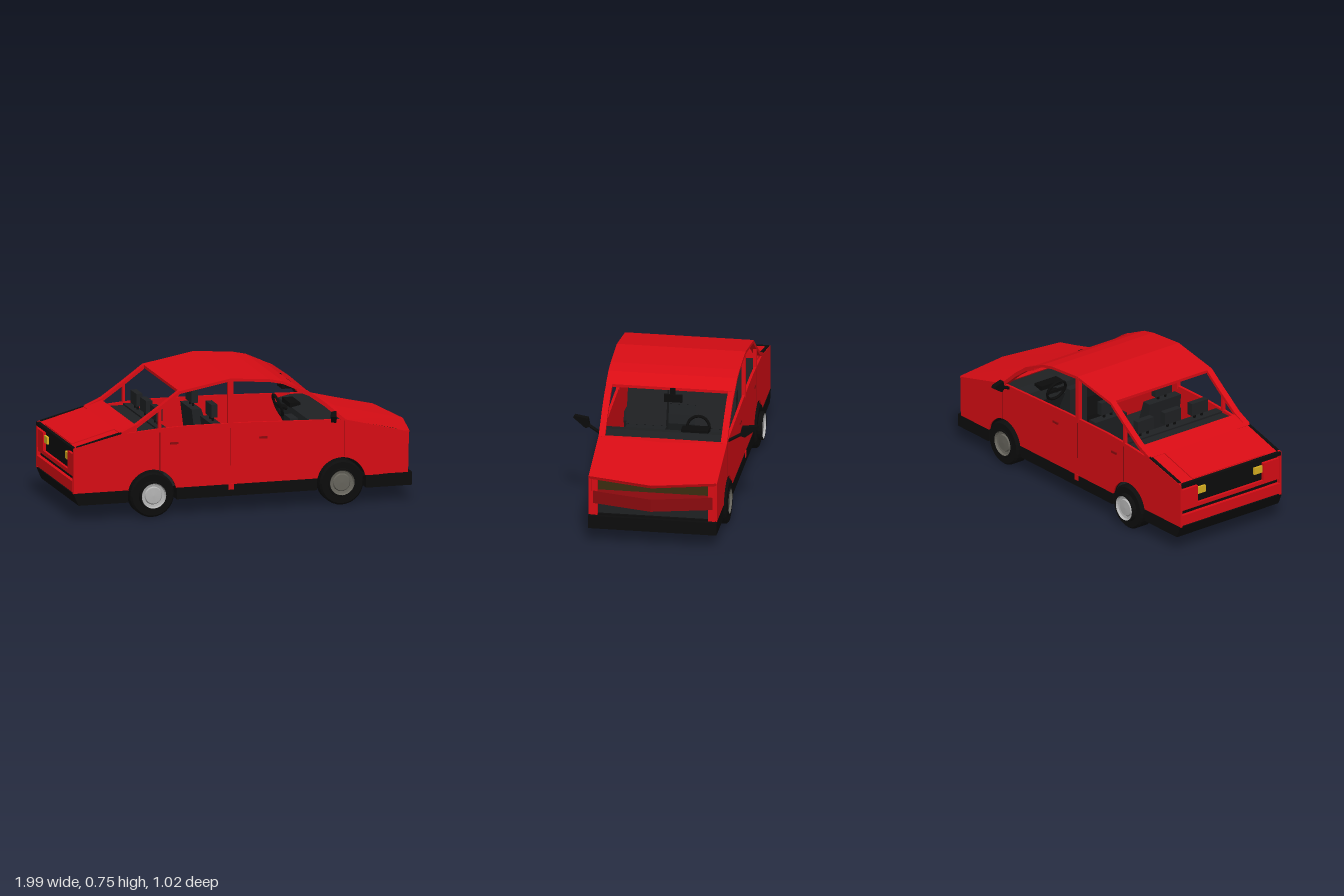
import * as THREE from 'three';

const mat = (color) => new THREE.MeshStandardMaterial({ color, flatShading: true, side: THREE.DoubleSide });
const red = mat(0xd80c14), darkRed = mat(0x8a0a0e), black = mat(0x0c0c0c), grey = mat(0x1f2123);
const rim = mat(0xb4b4b4), frontRim = mat(0x66645c), olive = mat(0x3a2c10), amber = mat(0xd8b020);

const REAR_X = -0.545, FRONT_X = 0.535, AXLE_Y = 0.125, ARCH = 0.14;

export function createModel() {
  const car = new THREE.Group();
  car.name = 'car';

  const add = (name, geometry, material, x = 0, y = 0, z = 0) => {
    const m = new THREE.Mesh(geometry, material);
    m.name = name;
    m.position.set(x, y, z);
    car.add(m);
    return m;
  };
  // box given by its extents
  const box = (name, material, x0, x1, y0, y1, z0, z1) =>
    add(name, new THREE.BoxGeometry(x1 - x0, y1 - y0, z1 - z0), material, (x0 + x1) / 2, (y0 + y1) / 2, (z0 + z1) / 2);
  // side profile extruded across z
  const slab = (name, material, shape, z0, z1) =>
    add(name, new THREE.ExtrudeGeometry(shape, { depth: z1 - z0, bevelEnabled: false, curveSegments: 16 }), material, 0, 0, z0);
  const poly = (pts) => new THREE.Shape(pts.map(([x, y]) => new THREE.Vector2(x, y)));
  // strip of thickness t lying under a line of points
  const band = (name, material, pts, t, z0, z1) =>
    slab(name, material, poly([...pts, ...pts.map(([x, y]) => [x, y - t]).reverse()]), z0, z1);

  // body sides with wheel arches
  const a = Math.asin((0.155 - AXLE_Y) / ARCH);
  const side = new THREE.Shape();
  side.moveTo(-0.995, 0.155);
  for (const cx of [REAR_X, FRONT_X]) {
    side.lineTo(cx - ARCH * Math.cos(a), 0.155);
    side.absarc(cx, AXLE_Y, ARCH, Math.PI - a, a, true);
  }
  [[0.915, 0.155], [0.92, 0.385], [0.55, 0.477], [0, 0.495], [-0.35, 0.498], [-0.5, 0.492], [-0.72, 0.475], [-0.995, 0.41]]
    .forEach(([x, y]) => side.lineTo(x, y));

  for (const s of [-1, 1]) {
    const span = (p, q) => (s > 0 ? [p, q] : [-q, -p]);
    slab('bodySide', red, side, ...span(0.34, 0.355));

    // pillars
    band('rearPillar', red, [[-0.72, 0.485], [-0.63, 0.525], [-0.5, 0.615], [-0.39, 0.695]], 0.022, ...span(0.32, 0.355));
    band('windscreenPillar', red, [[0.28, 0.675], [0.35, 0.645], [0.44, 0.58], [0.56, 0.475]], 0.025, ...span(0.32, 0.355));
    box('middlePillar', red, -0.112, -0.083, 0.48, 0.738, ...span(0.335, 0.357));
    box('rearWindowPost', red, -0.508, -0.493, 0.48, 0.61, ...span(0.335, 0.355));

    // door details
    for (const x of [-0.42, 0.09]) box('doorHandle', darkRed, x - 0.022, x + 0.022, 0.4, 0.412, ...span(0.355, 0.361));
    for (const x of [-0.5, -0.1, 0.55]) box('doorSeam', darkRed, x - 0.002, x + 0.002, x > 0 ? 0.27 : 0.26, 0.47, ...span(0.35, 0.356));
    box('sillBracket', red, -0.11, -0.08, 0.125, 0.16, ...span(0.345, 0.359));
    band('trunkSideTrim', black, [[-0.975, 0.418], [-0.72, 0.484]], 0.01, ...span(0.335, 0.352));

    // wing mirrors
    const stem = new THREE.LineCurve3(new THREE.Vector3(0.5, 0.465, s * 0.35), new THREE.Vector3(0.475, 0.505, s * 0.43));
    add('mirrorStem', new THREE.TubeGeometry(stem, 1, 0.009, 6), black);
    const head = poly([[0.415, 0.495], [0.44, 0.482], [0.512, 0.53], [0.505, 0.542], [0.425, 0.542]]);
    const mirror = add('mirrorHead', new THREE.ExtrudeGeometry(head, { depth: 0.03, bevelEnabled: false }), black);
    // shape x becomes z, swept slightly back toward the tip
    const p = mirror.geometry.attributes.position;
    for (let i = 0; i < p.count; i++) {
      const out = p.getX(i), depth = p.getZ(i);
      p.setXYZ(i, 0.46 + depth - (out - 0.415) * 0.35, p.getY(i), s * out);
    }
    if (s > 0) mirror.geometry.index ? 0 : flip(mirror.geometry);
    mirror.geometry.computeVertexNormals();

    // wheels
    for (const [x, material, out] of [[REAR_X, rim, 0.39], [FRONT_X, frontRim, 0.37]]) {
      const profile = [[0.06, 0.275], [0.115, 0.275], [0.125, 0.285], [0.125, 0.355], [0.115, 0.366], [0.08, 0.366], [0.078, out], [0.07, out]];
      const lathe = (name, pts, m) => {
        const g = new THREE.LatheGeometry(pts.map(([r, h]) => new THREE.Vector2(r, h)), 28);
        g.rotateX(s * Math.PI / 2);
        add(name, g, m, x, AXLE_Y);
      };
      lathe('tyre', profile, black);
      lathe('hubcap', [[0.076, out - 0.004], [0.07, out], [0.064, out - 0.012], [0.05, out - 0.015], [0.045, out - 0.008], [0, out - 0.006]], material);
      lathe('wheelBack', [[0.062, 0.28], [0, 0.28]], black);
    }
  }

  // wheel tunnels across the floor
  for (const x of [REAR_X, FRONT_X]) {
    const liner = new THREE.CylinderGeometry(ARCH, ARCH, 0.69, 20, 1, true, -Math.PI / 2, Math.PI);
    liner.rotateX(-Math.PI / 2);
    add('wheelTunnel', liner, black, x, AXLE_Y);
  }

  // floor pan and bumpers
  slab('rearBumper', black, poly([[-0.995, 0.158], [-0.965, 0.09], [REAR_X - ARCH, 0.09], [REAR_X - ARCH, 0.158]]), -0.357, 0.357);
  box('floorPan', black, REAR_X + ARCH, FRONT_X - ARCH, 0.09, 0.155, -0.357, 0.357);
  box('frontBumper', black, FRONT_X + ARCH, 0.938, 0.085, 0.158, -0.355, 0.355);
  box('noseFloor', black, 0.62, 0.915, 0.15, 0.165, -0.34, 0.34);

  // roof, decks and trunk lid
  band('roof', red, [[-0.39, 0.695], [-0.25, 0.72], [-0.1, 0.747], [0.12, 0.73], [0.2, 0.713], [0.29, 0.672]], 0.016, -0.356, 0.356);
  band('rearDeck', red, [[-0.73, 0.482], [-0.63, 0.515]], 0.03, -0.345, 0.345);
  band('trunkLid', red, [[-0.985, 0.41], [-0.72, 0.482]], 0.012, -0.335, 0.335);
  band('trunkLidPanel', red, [[-0.975, 0.418], [-0.73, 0.485]], 0.008, -0.255, 0.255);

  // hood: cross-sections as [edge x, edge y, centre x, centre y]
  const rows = [[0.55, 0.476, 0.55, 0.478], [0.56, 0.474, 0.6, 0.475], [0.925, 0.388, 0.99, 0.38], [0.918, 0.37, 0.98, 0.36], [0.89, 0.37, 0.89, 0.36]];
  const verts = [], faces = [];
  rows.forEach(([ex, ey, cx, cy], i) => {
    const w = i < 2 ? 0.343 : 0.352;
    verts.push(ex, ey, w, cx, cy, 0, ex, ey, -w);
    if (i) for (const k of [0, 1]) {
      const p = (i - 1) * 3 + k, q = i * 3 + k;
      faces.push(p, q, q + 1, p, q + 1, p + 1);
    }
  });
  const hood = new THREE.BufferGeometry();
  hood.setAttribute('position', new THREE.Float32BufferAttribute(verts, 3));
  hood.setIndex(faces);
  hood.computeVertexNormals();
  add('hood', hood, red);

  // nose: recessed grille, pointed bar, lower intake
  box('grille', olive, 0.885, 0.895, 0.29, 0.372, -0.305, 0.305);
  box('lowerIntake', grey, 0.885, 0.9, 0.155, 0.24, -0.305, 0.305);
  for (const s of [-1, 1]) box('noseFrame', red, 0.885, 0.918, 0.155, 0.372, s * 0.325 - 0.02, s * 0.325 + 0.02);
  const bar = new THREE.ExtrudeGeometry(poly([[0.89, -0.33], [0.92, -0.33], [0.996, 0], [0.92, 0.33], [0.89, 0.33]]), { depth: 0.072, bevelEnabled: false });
  bar.rotateX(-Math.PI / 2);
  add('noseBar', bar, darkRed, 0, 0.228);

  // tail: dark recess, red surrounds and lamps
  box('tailPanel', black, -0.975, -0.965, 0.155, 0.405, -0.34, 0.34);
  box('tailEdge', black, -0.998, -0.965, 0.392, 0.412, -0.35, 0.35);
  box('tailLowerBar', red, -0.996, -0.965, 0.165, 0.225, -0.345, 0.345);
  box('tailMiddleBar', red, -0.99, -0.965, 0.25, 0.272, -0.34, 0.34);
  for (const s of [-1, 1]) {
    box('tailLamp', red, -0.992, -0.965, 0.272, 0.375, s * 0.285 - 0.055, s * 0.285 + 0.055);
    box('turnLamp', amber, -0.988, -0.965, 0.32, 0.36, s * 0.2 - 0.028, s * 0.2 + 0.028);
  }

  // dashboard and steering wheel
  slab('dashboard', grey, poly([[0.55, 0.3], [0.55, 0.472], [0.45, 0.475], [0.38, 0.46], [0.37, 0.4], [0.42, 0.3]]), -0.338, 0.338);
  box('instrumentHood', black, 0.37, 0.43, 0.46, 0.485, -0.23, -0.08);
  box('centreConsole', grey, 0.33, 0.42, 0.16, 0.43, -0.06, 0.06);
  const wheel = add('steeringWheel', new THREE.TorusGeometry(0.062, 0.008, 6, 20), black, 0.325, 0.46, -0.16);
  wheel.rotation.set(0, Math.PI / 2, 0);
  wheel.rotateX(-0.35);
  const column = new THREE.LineCurve3(new THREE.Vector3(0.325, 0.46, -0.16), new THREE.Vector3(0.42, 0.425, -0.16));
  add('steeringColumn', new THREE.TubeGeometry(column, 1, 0.014, 8), black);
  box('steeringSpoke', black, 0.318, 0.33, 0.452, 0.468, -0.22, -0.1);

  // seats
  const headrest = (x, z) => {
    box('headrest', grey, x - 0.018, x + 0.018, 0.508, 0.58, z - 0.057, z + 0.057);
    for (const d of [-0.025, 0.025]) box('headrestPost', black, x - 0.005, x + 0.005, 0.47, 0.51, z + d - 0.006, z + d + 0.006);
  };
  const seat = (x, z0, z1) => {
    slab('seatBack', grey, poly([[x - 0.03, 0.485], [x + 0.025, 0.485], [x + 0.09, 0.29], [x, 0.25]]), z0, z1);
    slab('seatCushion', grey, poly([[x, 0.27], [x + 0.26, 0.3], [x + 0.27, 0.25], [x + 0.24, 0.16], [x, 0.16]]), z0, z1);
  };
  for (const z of [-0.19, 0.19]) {
    seat(-0.16, z - 0.11, z + 0.11);
    headrest(-0.157, z);
  }
  seat(-0.475, -0.335, 0.335);
  for (const z of [-0.19, 0, 0.19]) headrest(-0.472, z);
  box('parcelShelf', grey, -0.66, -0.49, 0.455, 0.475, -0.338, 0.338);

  // rear-view mirror
  box('rearViewMirror', black, 0.292, 0.308, 0.593, 0.635, -0.067, 0.034).position.z = -0.017;
  box('rearViewMirrorStem', black, 0.285, 0.3, 0.63, 0.67, -0.028, 0);

  return car;
}

// reverse the winding of a non-indexed geometry
function flip(geometry) {
  const p = geometry.attributes.position, v = new THREE.Vector3(), w = new THREE.Vector3();
  for (let i = 0; i < p.count; i += 3) {
    v.fromBufferAttribute(p, i);
    w.fromBufferAttribute(p, i + 1);
    p.setXYZ(i, w.x, w.y, w.z);
    p.setXYZ(i + 1, v.x, v.y, v.z);
  }
}
